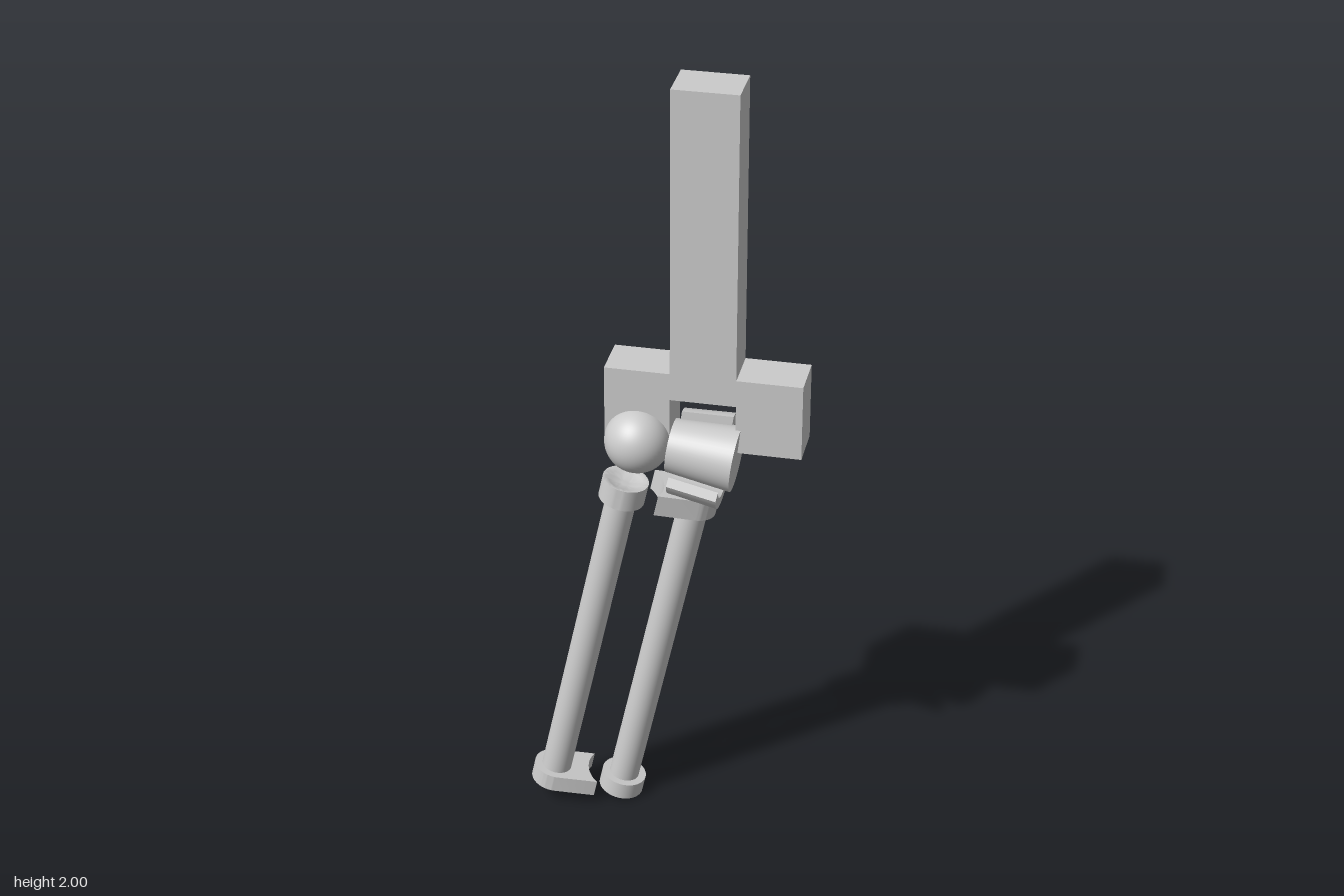
import * as THREE from 'three';
import { toCreasedNormals } from 'three/addons/utils/BufferGeometryUtils.js';

const material = new THREE.MeshStandardMaterial({ color: 0xcccccc });
const ROD_R = 0.038, COLLAR_R = 0.057, LENGTH = 0.95;
const TOP_H = 0.056, LOW_H = 0.045;
const SPACING = new THREE.Vector2(0.17, 0.055); // offset between the two forearm rods (x, z)

function part(name, geometry, parent, x = 0, y = 0, z = 0) {
  const mesh = new THREE.Mesh(geometry, material);
  mesh.name = name;
  mesh.position.set(x, y, z);
  parent.add(mesh);
  return mesh;
}

// Upper bone: a forked bar with a square notch between its two lower blocks
function upperBoneGeometry() {
  const shape = new THREE.Shape([
    [-0.08, 2], [-0.08, 1.275], [-0.24, 1.275], [-0.24, 1.08], [-0.08, 1.08], [-0.08, 1.205],
    [0.08, 1.205], [0.08, 1.08], [0.24, 1.08], [0.24, 1.275], [0.08, 1.275], [0.08, 2],
  ].map(([x, y]) => new THREE.Vector2(x, y)));
  return new THREE.ExtrudeGeometry(shape, { depth: 0.117, bevelEnabled: false }).translate(0, 0, -0.0585);
}

// Conical cuff: a box bent around the x axis from the front lip, under and behind, to the top
function cuffGeometry() {
  const start = THREE.MathUtils.degToRad(28), end = THREE.MathUtils.degToRad(265);
  const geometry = new THREE.BoxGeometry(0.125, 0.027, end - start, 1, 1, 48);
  const p = geometry.attributes.position;
  for (let i = 0; i < p.count; i++) {
    const x = p.getX(i);
    const r = 0.098 + p.getY(i) + x * 0.105;
    const a = -(p.getZ(i) + (start + end) / 2);
    p.setXYZ(i, x, r * Math.sin(a), r * Math.cos(a));
  }
  geometry.computeVertexNormals();
  return geometry;
}

// Collar that reaches towards the other rod and ends in a concave notch
function notchedCollarGeometry(height, angle) {
  const reach = 0.103, gap = SPACING.length();
  const dx = gap - reach;
  const notchR = Math.hypot(dx, COLLAR_R), half = Math.atan2(COLLAR_R, dx);
  const shape = new THREE.Shape();
  shape.absarc(0, 0, COLLAR_R, Math.PI / 2, Math.PI * 1.5, false);
  shape.lineTo(reach, -COLLAR_R);
  shape.absarc(gap, 0, notchR, Math.PI + half, Math.PI - half, true);
  shape.closePath();
  const geometry = new THREE.ExtrudeGeometry(shape, { depth: height, bevelEnabled: false, curveSegments: 24 });
  return toCreasedNormals(geometry.rotateX(-Math.PI / 2).rotateY(angle), 0.5);
}

// Round collar with a shallow cup on top
function cuppedHeadGeometry() {
  const points = [[0, 0], [COLLAR_R, 0], [COLLAR_R, TOP_H]];
  for (let i = 0; i <= 6; i++) {
    const r = 0.05 * (1 - i / 6);
    points.push([r, TOP_H - 0.013 * (1 - (r / 0.05) ** 2)]);
  }
  const lathe = new THREE.LatheGeometry(points.map(([x, y]) => new THREE.Vector2(x, y)), 48);
  return toCreasedNormals(lathe, 0.6);
}

export function createModel() {
  const model = new THREE.Group();
  model.name = 'elbowJoint';

  part('upperBone', upperBoneGeometry(), model, 0.1, 0, -0.0385).rotation.y = 0.021;

  // Joint surfaces
  part('jointBall', new THREE.SphereGeometry(0.081, 48, 32), model, -0.058, 1.085, 0.02);
  const spool = new THREE.CylinderGeometry(0.081, 0.066, 0.162, 48).rotateZ(-Math.PI / 2);
  part('jointSpool', spool, model, 0.104, 1.07, 0.015).rotation.z = -0.11;
  part('cuff', cuffGeometry(), model, 0.095, 1.05, 0).rotation.set(0, 0.015, -0.11);

  // Forearm, leaning sideways, standing on the lower collar of the inner rod
  const forearm = new THREE.Group();
  forearm.name = 'forearm';
  forearm.position.set(-0.119, 0.0125, -0.025);
  forearm.rotation.z = -0.212;
  model.add(forearm);

  const toInner = Math.atan2(SPACING.y, SPACING.x);
  const rod = new THREE.CylinderGeometry(ROD_R, ROD_R, LENGTH - 0.04, 40);
  const [ox, oz] = [-SPACING.x, SPACING.y];

  // Inner rod: notched at the top, round at the bottom
  part('innerRod', rod, forearm, 0, LENGTH / 2, 0);
  part('innerUpperCollar', notchedCollarGeometry(TOP_H, toInner + Math.PI), forearm, 0, LENGTH - TOP_H, 0);
  part('innerLowerCollar', new THREE.CylinderGeometry(COLLAR_R, COLLAR_R, LOW_H, 48), forearm, 0, LOW_H / 2, 0);

  // Outer rod: cupped at the top, notched at the bottom
  part('outerRod', rod, forearm, ox, LENGTH / 2, oz);
  part('outerUpperCollar', cuppedHeadGeometry(), forearm, ox, LENGTH - TOP_H, oz);
  part('outerLowerCollar', notchedCollarGeometry(LOW_H, toInner), forearm, ox, 0, oz);

  return model;
}
